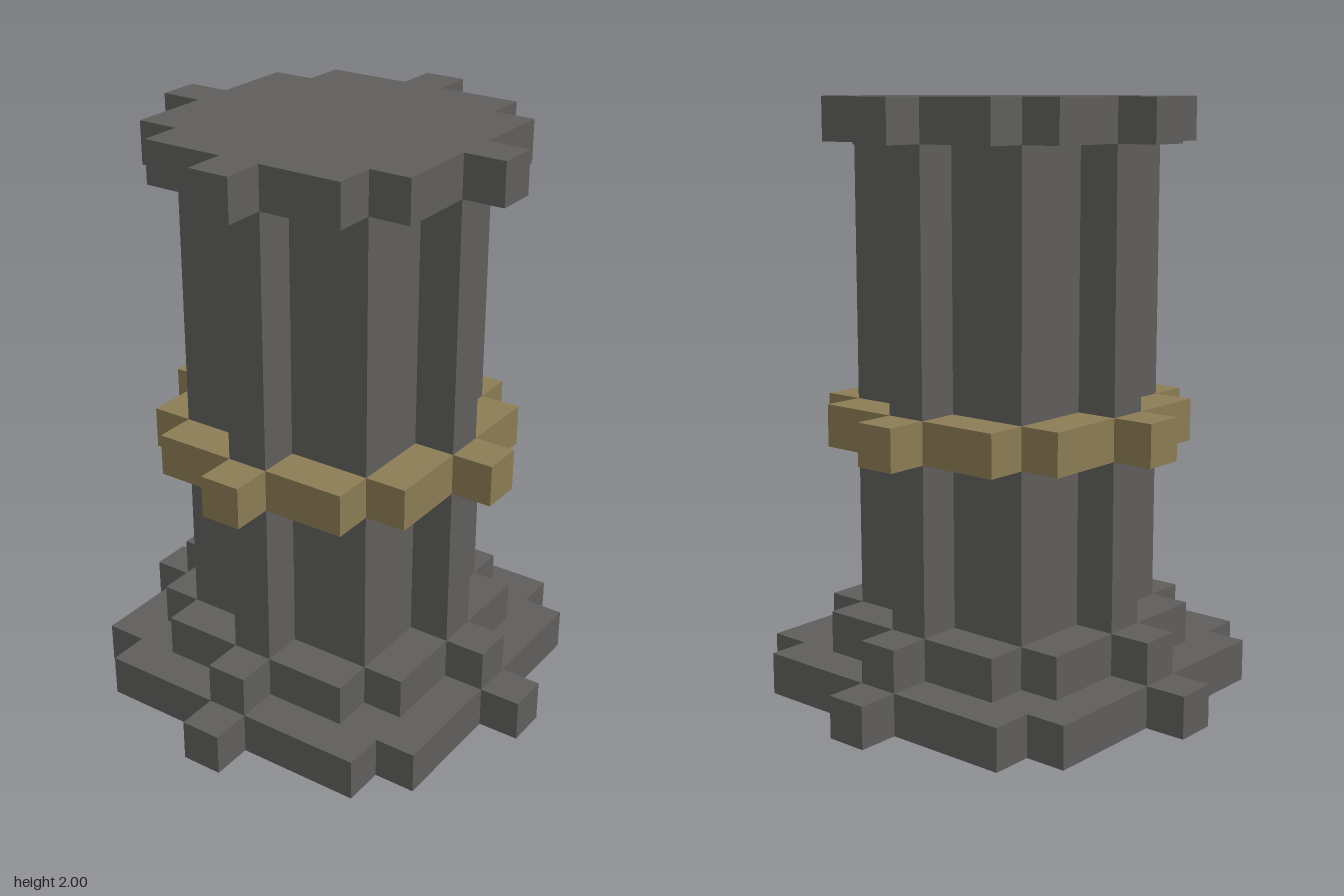
import * as THREE from 'three';

const U = 1 / 7; // one block
const stone = new THREE.MeshStandardMaterial({ color: 0x5f5e5c, flatShading: true });
const brass = new THREE.MeshStandardMaterial({ color: 0x8b7c55, flatShading: true });

// Four-fold stepped outline: a one-block rib on each side, and a body with notched corners
function outline(rib, body, notch) {
  const quarter = [[rib, -0.5], [rib, 0.5], [body, 0.5]];
  if (notch < body) quarter.push([body, notch], [notch, notch], [notch, body]);
  else quarter.push([body, body]);
  quarter.push([0.5, body]);
  const points = [];
  for (let i = 0; i < 4; i++) {
    for (const [x, y] of quarter) {
      points.push(new THREE.Vector2(x * U, y * U).rotateAround(new THREE.Vector2(), i * Math.PI / 2));
    }
  }
  return new THREE.Shape(points);
}

// Solid tier between two heights, given in blocks
function tier(name, y0, y1, rib, body, notch) {
  const geometry = new THREE.ExtrudeGeometry(outline(rib, body, notch), { depth: (y1 - y0) * U, bevelEnabled: false });
  geometry.rotateX(-Math.PI / 2).translate(0, y0 * U, 0);
  const mesh = new THREE.Mesh(geometry, stone);
  mesh.name = name;
  return mesh;
}

export function createModel() {
  const model = new THREE.Group();
  model.name = 'pillar';
  model.add(
    tier('foot', 0, 1, 5.5, 4.5, 3.5),
    tier('plinth', 1, 2, 4.5, 3.5, 2.5),
    tier('shaft', 2, 13, 3.5, 2.5, 2.5),
    tier('cap', 13, 14, 4.5, 3.5, 2.5),
  );

  // Band wrapped around the shaft: a block on each rib and a slab on either side of it
  const band = new THREE.Group();
  band.name = 'band';
  for (let i = 0; i < 4; i++) {
    const side = new THREE.Group();
    side.name = 'bandSide';
    side.rotation.y = i * Math.PI / 2;
    for (const [x, z, width] of [[0, 4, 1], [-1.5, 3, 2], [1.5, 3, 2]]) {
      const block = new THREE.Mesh(new THREE.BoxGeometry(width * U, U, U), brass);
      block.name = 'bandBlock';
      block.position.set(x * U, 6.5 * U, z * U);
      side.add(block);
    }
    band.add(side);
  }
  model.add(band);
  return model;
}
